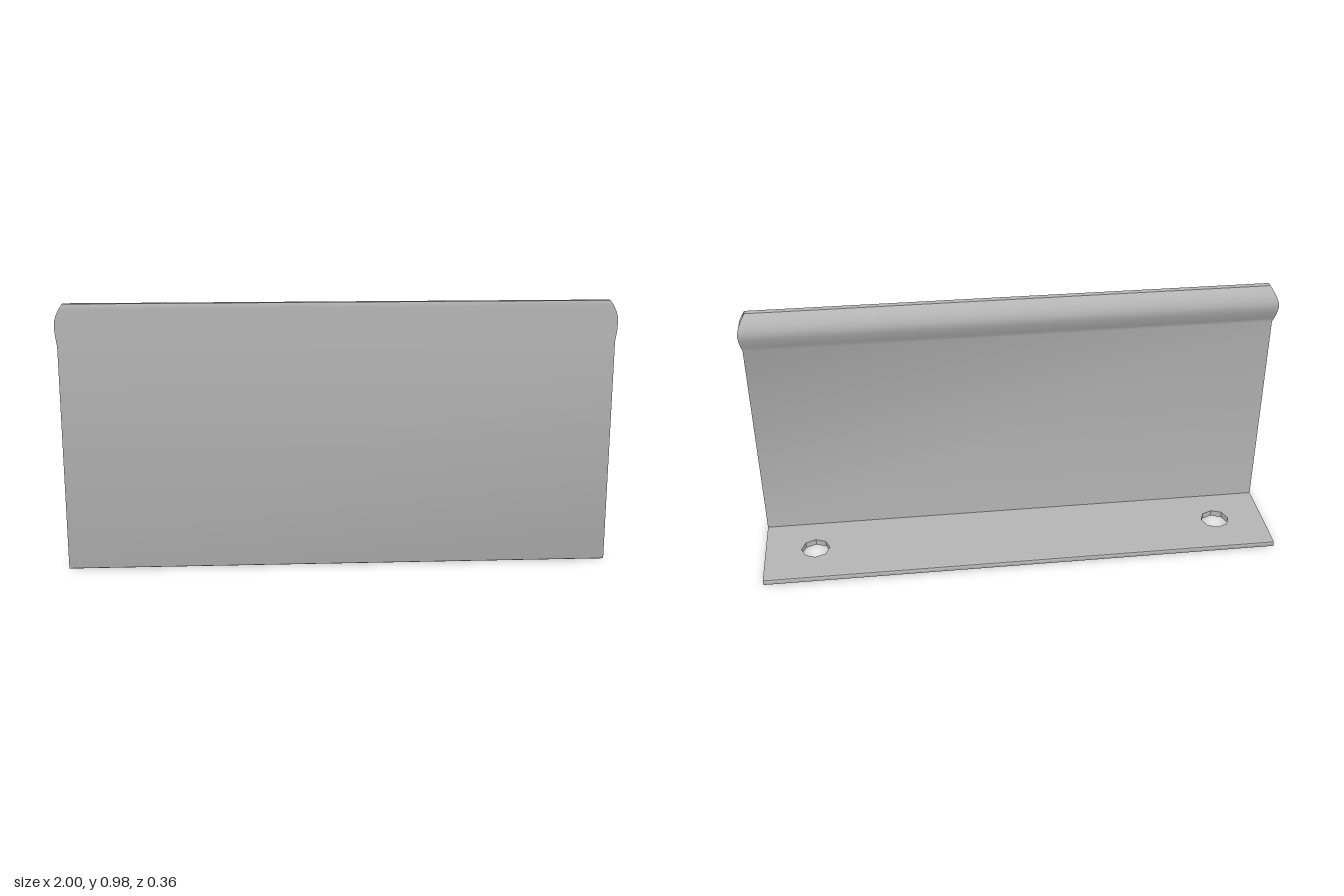
import * as THREE from 'three';
import { toCreasedNormals } from 'three/addons/utils/BufferGeometryUtils.js';

const HALF = 0.993;

// Half width by height: the lip bulges at its ends and narrows to the top
const ENDS = [[0, HALF], [0.825, HALF], [0.86, 0.998], [0.885, 1], [0.91, 1], [0.935, 0.993], [0.955, 0.983], [0.975, 0.97]];
function halfWidth(y) {
  for (let i = 1; i < ENDS.length; i++) {
    const [y0, w0] = ENDS[i - 1], [y1, w1] = ENDS[i];
    if (y <= y1) return w0 + (w1 - w0) * (y - y0) / (y1 - y0);
  }
  return ENDS[ENDS.length - 1][1];
}

// Extrude a (z, y) profile across the full width
function sweepAcross(points) {
  const shape = new THREE.Shape(points.map(([z, y]) => new THREE.Vector2(z, y)));
  const geo = new THREE.ExtrudeGeometry(shape, { depth: 2, bevelEnabled: false, steps: 1 });
  geo.rotateY(-Math.PI / 2).translate(1, 0, 0);
  const p = geo.attributes.position;
  for (let i = 0; i < p.count; i++) p.setX(i, Math.sign(p.getX(i)) * halfWidth(p.getY(i)));
  geo.computeVertexNormals();
  return toCreasedNormals(geo, 0.7);
}

export function createModel() {
  const group = new THREE.Group();
  const metal = new THREE.MeshStandardMaterial({ color: 0xb4b4b4 });
  metal.name = 'grey metal';
  const add = (name, geo) => {
    const mesh = new THREE.Mesh(geo, metal);
    mesh.name = name;
    group.add(mesh);
  };

  // Upright plate with the rounded lip on its back
  const front = ENDS.slice(1, -1).map(([y]) => [0.182, y]);
  add('uprightWithLip', sweepAcross([
    [0.155, 0], [0.174, 0], [0.18, 0.003], [0.182, 0.009],
    ...front, [0.182, 0.965], [0.179, 0.975], [0.156, 0.975],
    [0.145, 0.964], [0.134, 0.95], [0.125, 0.932], [0.121, 0.915], [0.121, 0.9],
    [0.126, 0.883], [0.134, 0.864], [0.144, 0.844], [0.155, 0.825],
  ]));

  // Foot plate with two screw holes
  const foot = new THREE.Shape([[-HALF, -0.155], [HALF, -0.155], [HALF, 0.174], [-HALF, 0.174]]
    .map(([x, y]) => new THREE.Vector2(x, y)));
  for (const side of [-1, 1]) {
    const hole = [];
    for (let i = 0; i < 8; i++) {
      const a = -i * Math.PI / 4;
      hole.push(new THREE.Vector2(side * 0.8 + 0.055 * Math.cos(a), 0.005 + 0.055 * Math.sin(a)));
    }
    foot.holes.push(new THREE.Path(hole));
  }
  add('footPlate', new THREE.ExtrudeGeometry(foot, { depth: 0.024, bevelEnabled: false }).rotateX(-Math.PI / 2));

  // Softened back edge of the foot
  add('footBackEdge', sweepAcross([
    [-0.174, 0.024], [-0.179, 0.022], [-0.181, 0.018], [-0.181, 0.006], [-0.179, 0.002], [-0.174, 0],
  ]));

  return group;
}
